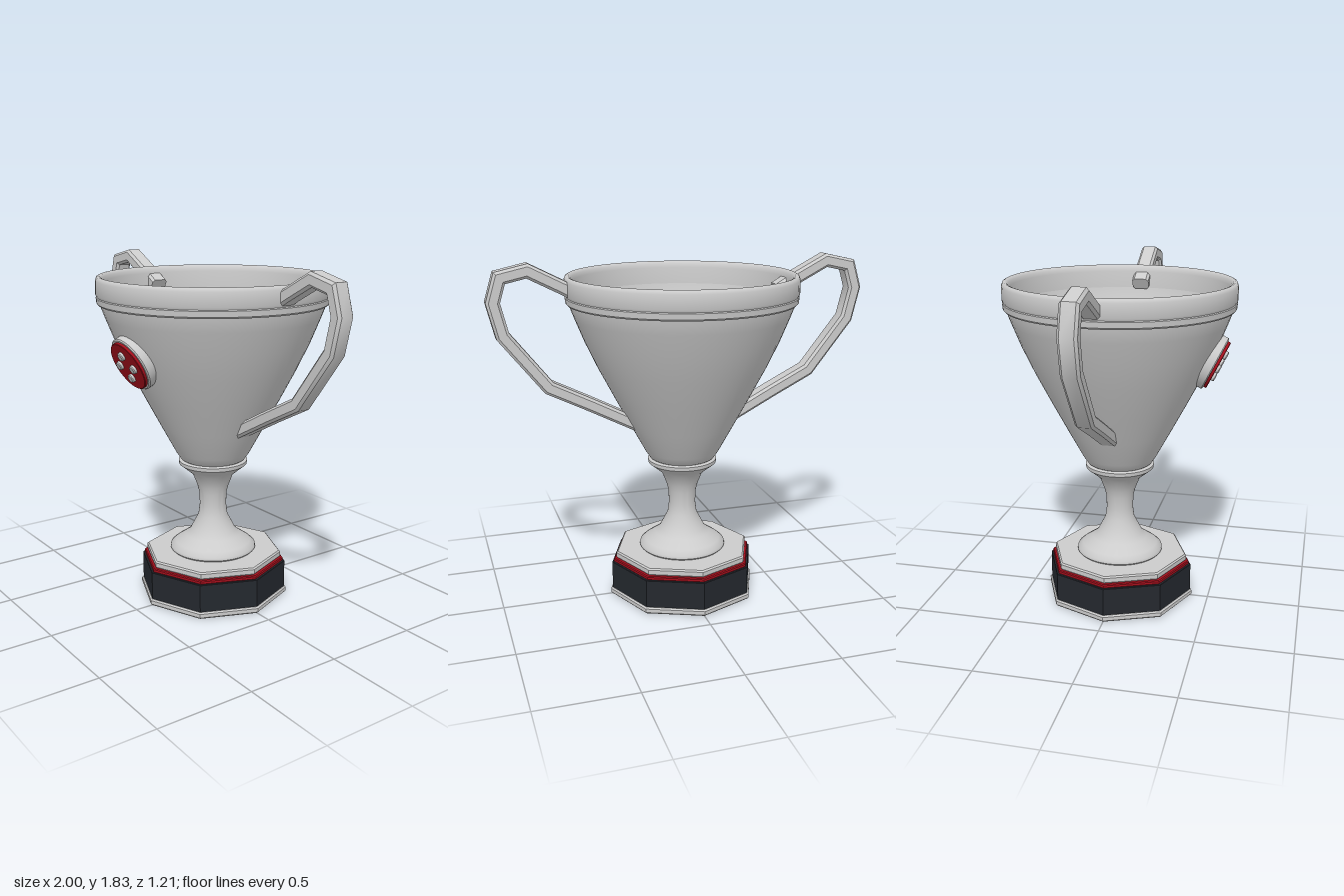
import * as THREE from 'three';
import { toCreasedNormals } from 'three/addons/utils/BufferGeometryUtils.js';

const silver = new THREE.MeshStandardMaterial({ color: 0xcccccc });
const red = new THREE.MeshStandardMaterial({ color: 0xa50f1c });
const dark = new THREE.MeshStandardMaterial({ color: 0x24282e });

function part(name, geometry, material, crease = 0.6) {
  const mesh = new THREE.Mesh(toCreasedNormals(geometry, crease), material);
  mesh.name = name;
  return mesh;
}

function lathe(points, segments) {
  return new THREE.LatheGeometry(points.map(([r, y]) => new THREE.Vector2(r, y)), segments);
}

// Closed slab with bevelled rims
function slab(r, y0, y1, bevel, segments) {
  return lathe([[0, y0], [r - bevel, y0], [r, y0 + bevel], [r, y1 - bevel], [r - bevel, y1], [0, y1]], segments);
}

// Chamfered rectangular bar swept along a path in the xy plane
function bar(path, halfThick, halfDepth, chamfer) {
  const a = halfThick, b = halfDepth, c = chamfer;
  const section = [[a, -b + c], [a, b - c], [a - c, b], [-a + c, b], [-a, b - c], [-a, -b + c], [-a + c, -b], [a - c, -b]];
  const pts = path.map(([x, y]) => new THREE.Vector2(x, y));
  const n = section.length, last = pts.length - 1;
  const pos = [], idx = [];
  pts.forEach((p, i) => {
    const dIn = pts[Math.max(i, 1)].clone().sub(pts[Math.max(i, 1) - 1]).normalize();
    const dOut = pts[Math.min(i + 1, last)].clone().sub(pts[Math.min(i, last - 1)]).normalize();
    const t = dIn.clone().add(dOut).normalize();
    const miter = 1 / t.dot(dIn);
    for (const [u, z] of section) pos.push(p.x - t.y * u * miter, p.y + t.x * u * miter, z);
  });
  for (let i = 0; i < last; i++) {
    for (let j = 0; j < n; j++) {
      const k = (j + 1) % n, A = i * n + j, B = i * n + k;
      idx.push(A, B, B + n, A, B + n, A + n);
    }
  }
  for (let j = 1; j < n - 1; j++) {
    idx.push(0, j + 1, j);
    idx.push(last * n, last * n + j, last * n + j + 1);
  }
  const g = new THREE.BufferGeometry();
  g.setAttribute('position', new THREE.Float32BufferAttribute(pos, 3));
  g.setIndex(idx);
  return g;
}

export function createModel() {
  const model = new THREE.Group();
  model.name = 'trophyCup';

  // Octagonal base, corners on the axes
  model.add(
    part('baseFoot', slab(0.41, 0, 0.036, 0.008, 8), silver),
    part('baseBlock', slab(0.4, 0.03, 0.188, 0.002, 8), dark),
    part('baseStripe', slab(0.39, 0.186, 0.208, 0.005, 8), red),
    part('baseTop', slab(0.375, 0.206, 0.246, 0.008, 8), silver)
  );

  // Waisted stem with flared foot and collar
  model.add(part('stem', lathe([
    [0, 0.245], [0.225, 0.245], [0.234, 0.255], [0.232, 0.27], [0.205, 0.292], [0.15, 0.33], [0.125, 0.352],
    [0.08, 0.44], [0.072, 0.5], [0.075, 0.57], [0.085, 0.61], [0.11, 0.675], [0.145, 0.705],
    [0.183, 0.735], [0.185, 0.755], [0.178, 0.76], [0, 0.76],
  ], 48), silver, 0.8));

  // Hollow bowl: outer wall, then inner wall down to the floor
  model.add(part('bowl', lathe([
    [0, 0.757], [0.16, 0.757], [0.175, 0.767], [0.2, 0.805], [0.278, 0.95], [0.36, 1.105], [0.445, 1.27],
    [0.51, 1.41], [0.558, 1.53], [0.588, 1.61], [0.59, 1.7], [0.57, 1.7], [0.56, 1.61], [0.53, 1.53],
    [0.48, 1.41], [0.415, 1.27], [0.33, 1.105], [0.248, 0.95], [0.185, 0.83], [0.16, 0.81], [0, 0.805],
  ], 64), silver, 0.7));

  // Rim: thin lower band and rounded lip
  model.add(
    part('rimBand', lathe([[0.58, 1.605], [0.593, 1.602], [0.6, 1.61], [0.603, 1.638], [0.597, 1.646], [0.58, 1.646]], 64), silver),
    part('rimLip', lathe([
      [0.58, 1.643], [0.6, 1.643], [0.605, 1.655], [0.604, 1.725], [0.598, 1.74], [0.588, 1.745],
      [0.578, 1.742], [0.569, 1.73], [0.565, 1.71], [0.56, 1.62],
    ], 64), silver, 0.9)
  );

  // Angular handles
  const path = [[0.525, 1.645], [0.62, 1.7], [0.795, 1.79], [0.93, 1.76], [0.967, 1.64], [0.927, 1.475],
    [0.71, 1.2], [0.5, 1.095], [0.25, 0.965]];
  const handleGeometry = bar(path, 0.034, 0.046, 0.013);
  ['leftHandle', 'rightHandle'].forEach((name, i) => {
    const handle = part(name, handleGeometry, silver, 0.65);
    handle.rotation.y = i * Math.PI;
    model.add(handle);
  });

  // Round badge lying on the sloping front wall, built facing +y then tilted
  const badge = new THREE.Group();
  badge.name = 'badge';
  badge.add(
    part('badgeDisc', slab(0.147, -0.045, 0.014, 0.006, 40), silver),
    part('badgeFace', slab(0.132, 0.01, 0.03, 0.003, 40), red)
  );
  for (let i = 0; i < 4; i++) {
    const stud = part('badgeStud', slab(0.023, 0.025, 0.047, 0.005, 16), silver);
    stud.position.set(0.064 * Math.cos(i * Math.PI / 2), 0, 0.064 * Math.sin(i * Math.PI / 2));
    badge.add(stud);
  }
  badge.position.set(0, 1.335, 0.492);
  badge.rotation.x = Math.PI / 2 + 0.46;
  model.add(badge);

  return model;
}
